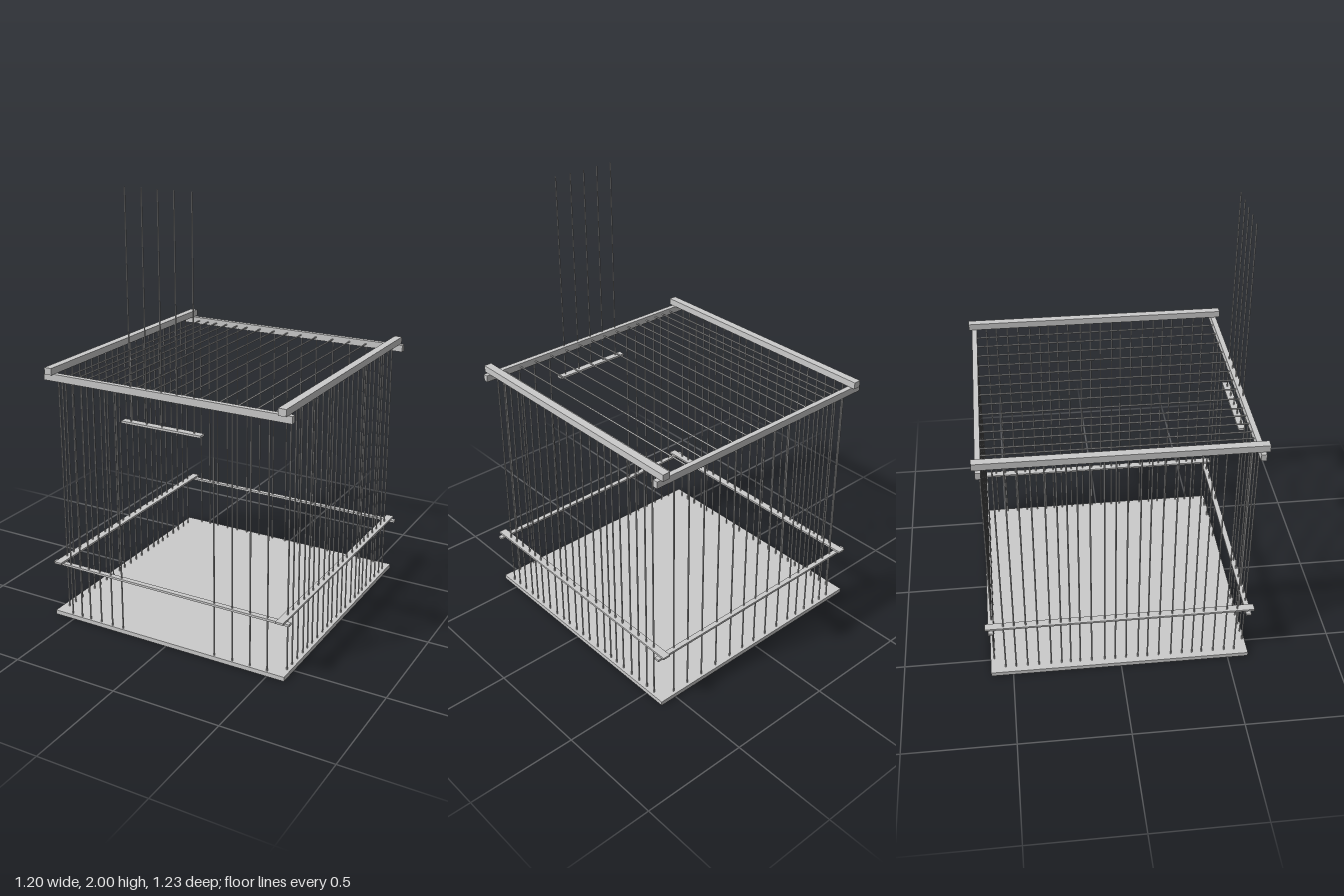
import * as THREE from 'three';

const material = new THREE.MeshStandardMaterial({ color: 0xcccccc });

// Box given by its extents on each axis
function box(parent, name, [x0, x1], [y0, y1], [z0, z1]) {
  const mesh = new THREE.Mesh(new THREE.BoxGeometry(x1 - x0, y1 - y0, z1 - z0), material);
  mesh.position.set((x0 + x1) / 2, (y0 + y1) / 2, (z0 + z1) / 2);
  mesh.name = name;
  parent.add(mesh);
}

// Round wire between two points
function wire(parent, name, from, to, radius = 0.0035) {
  const a = new THREE.Vector3(...from);
  const b = new THREE.Vector3(...to);
  const dir = b.clone().sub(a);
  const mesh = new THREE.Mesh(new THREE.CylinderGeometry(radius, radius, dir.length(), 8), material);
  mesh.position.copy(a).add(b).multiplyScalar(0.5);
  mesh.quaternion.setFromUnitVectors(new THREE.Vector3(0, 1, 0), dir.normalize());
  mesh.name = name;
  parent.add(mesh);
}

export function createModel() {
  const cage = new THREE.Group();
  cage.name = 'cage';

  // Floor board
  box(cage, 'floor', [-0.6, 0.582], [0, 0.02], [-0.602, 0.596]);

  const frontZ = [0.571, 0.595];
  const backZ = [-0.602, -0.578];
  const sideX = [[-0.582, -0.546], [0.546, 0.582]];

  // Top frame and thin middle frame: cross rails with side rails resting on them
  for (const [name, low, mid, high] of [['top', 1.14, 1.172, 1.203], ['middle', 0.26, 0.27, 0.279]]) {
    const frame = new THREE.Group();
    frame.name = name + 'Frame';
    box(frame, name + 'FrontRail', [-0.6, 0.6], [low, mid], frontZ);
    box(frame, name + 'BackRail', [-0.6, 0.6], [low, mid], backZ);
    for (const x of sideX) box(frame, name + 'SideRail', x, [mid, high], [-0.616, 0.613]);
    cage.add(frame);
  }

  // Hand-spaced bar positions across the width; the middle five belong to the door
  const barX = [-0.51, -0.458, -0.41, -0.35, -0.29, -0.232, -0.157, -0.078, -0.003,
    0.072, 0.153, 0.242, 0.33, 0.415, 0.497];
  const isDoor = (i) => i >= 6 && i <= 10;
  const bars = new THREE.Group();
  bars.name = 'bars';
  cage.add(bars);
  const door = new THREE.Group();
  door.name = 'raisedDoor';
  cage.add(door);

  barX.forEach((x, i) => {
    wire(bars, 'roofBar', [x, 1.155, -0.585], [x, 1.155, 0.58]);
    wire(bars, 'backBar', [x, 0.01, -0.585], [x, 1.155, -0.585]);
    if (isDoor(i)) wire(door, 'doorBar', [x, 1.015, 0.585], [x, 2, 0.585], 0.003);
    else wire(bars, 'frontBar', [x, 0.01, 0.585], [x, 1.155, 0.585]);
  });

  // Cross bar at the foot of the raised door
  box(door, 'doorCrossBar', [-0.197, 0.19], [1.011, 1.021], [0.567, 0.6]);

  // Side walls
  const barZ = [0.535, 0.487, 0.435, 0.38, 0.335, 0.288, 0.235, 0.178, 0.125, 0.081, 0.025,
    -0.025, -0.074, -0.135, -0.188, -0.232, -0.274, -0.323, -0.38, -0.432, -0.485, -0.533];
  for (const x of [-0.568, 0.566])
    for (const z of barZ) wire(bars, 'sideBar', [x, 0.01, z], [x, 1.185, z]);

  return cage;
}
